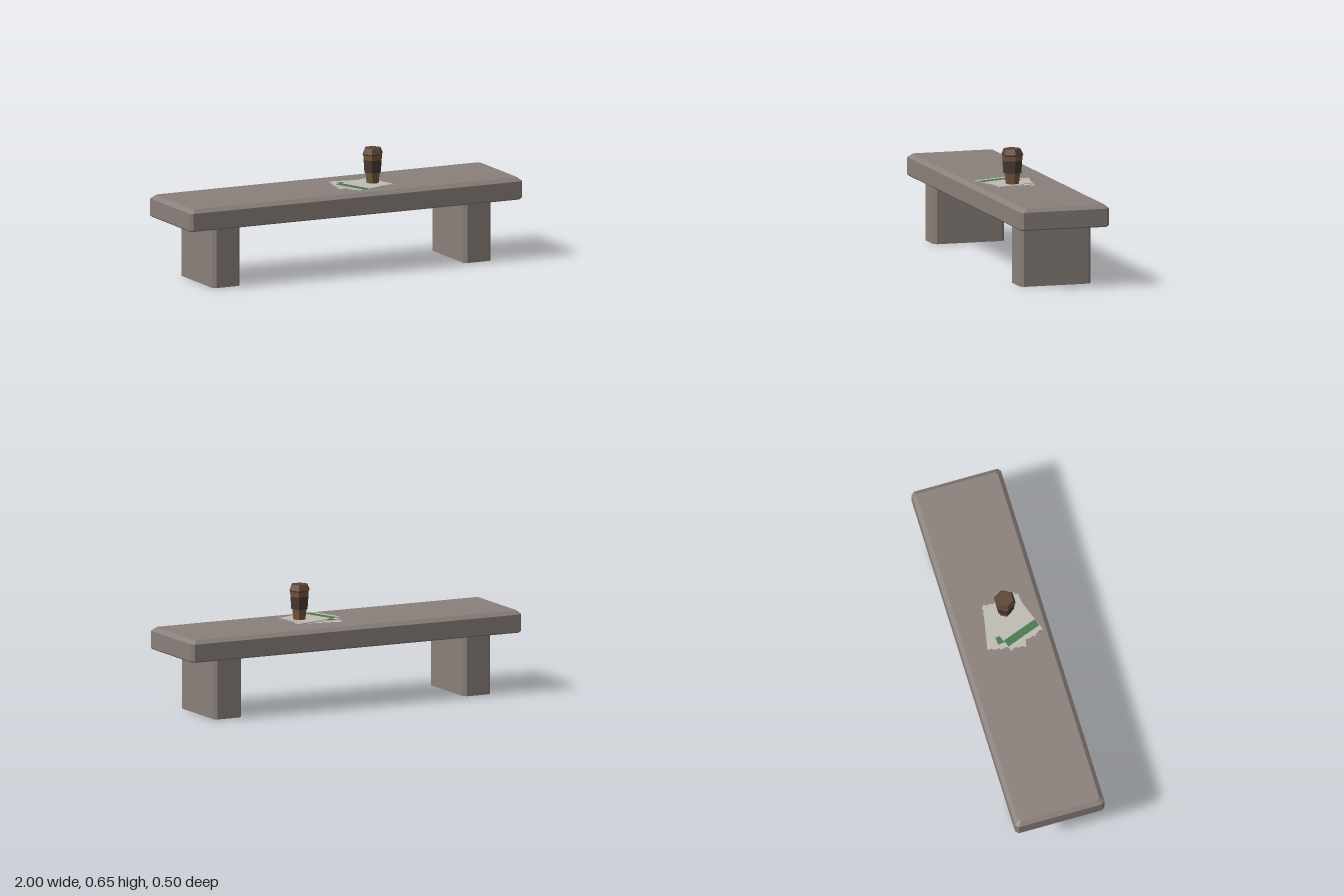
import * as THREE from 'three';

const mat = (name, color) => Object.assign(new THREE.MeshStandardMaterial({ color }), { name });

// Solid lofted through chamfered rectangles; each ring is [y, halfX, halfZ, corner cut]
function chamferedLoft(rings) {
  const loops = rings.map(([y, a, b, c]) => [
    [a, b - c], [a - c, b], [c - a, b], [-a, b - c],
    [-a, c - b], [c - a, -b], [a - c, -b], [a, c - b],
  ].map(([x, z]) => [x, y, z]));
  const pos = [];
  const tri = (...p) => p.forEach((v) => pos.push(...v));
  for (let r = 0; r < loops.length - 1; r++) {
    const lo = loops[r], hi = loops[r + 1];
    for (let i = 0; i < 8; i++) {
      const j = (i + 1) % 8;
      tri(lo[i], hi[j], lo[j]);
      tri(lo[i], hi[i], hi[j]);
    }
  }
  const bottom = loops[0], top = loops[loops.length - 1];
  for (let i = 1; i < 7; i++) {
    tri(bottom[0], bottom[i], bottom[i + 1]);
    tri(top[0], top[i + 1], top[i]);
  }
  const g = new THREE.BufferGeometry();
  g.setAttribute('position', new THREE.Float32BufferAttribute(pos, 3));
  g.computeVertexNormals();
  return g;
}

// Thin sheet with torn short edges
function sheetGeometry(w, h, thick) {
  const teeth = 10, pts = [];
  for (let i = 0; i <= teeth; i++)
    pts.push(new THREE.Vector2(w / 2 - (i % 2) * 0.009, -h / 2 + (h * i) / teeth));
  for (let i = teeth; i >= 0; i--)
    pts.push(new THREE.Vector2(-w / 2 + (i % 2) * 0.009, -h / 2 + (h * i) / teeth));
  const g = new THREE.ExtrudeGeometry(new THREE.Shape(pts), { depth: thick, bevelEnabled: false });
  return g.rotateX(-Math.PI / 2);
}

export function createModel() {
  const root = new THREE.Group();
  root.name = 'bench';
  const stone = mat('stone', 0x8a807b);
  const paper = mat('paper', 0xbfbbb5);
  const green = mat('green', 0x4b784e);
  const cardboard = mat('cardboard', 0x73583f);
  const sleeveMat = mat('sleeve brown', 0x4a3a35);
  const lidMat = mat('lid brown', 0x5c4434);

  const add = (parent, name, geometry, material) => {
    const m = new THREE.Mesh(geometry, material);
    m.name = name;
    parent.add(m);
    return m;
  };

  // Seat slab with bevelled rim
  add(root, 'seat', chamferedLoft([
    [0.33, 0.993, 0.243, 0.015], [0.337, 1, 0.25, 0.016],
    [0.43, 1, 0.25, 0.016], [0.45, 0.977, 0.227, 0.012],
  ]), stone);

  // Two block legs
  for (const side of [-1, 1]) {
    const leg = add(root, side > 0 ? 'leftLeg' : 'rightLeg',
      chamferedLoft([[0, 0.083, 0.2, 0.017], [0.332, 0.083, 0.2, 0.017]]), stone);
    leg.position.x = side * 0.755;
  }

  // Stack of loose sheets, each turned differently: [x, y, z, turn, striped]
  const sheets = [
    [0.12, 0.4503, 0.016, -0.19, false],
    [0.135, 0.4531, 0.045, 0.1, true],
    [0.128, 0.4559, 0.064, 0.35, true],
  ];
  sheets.forEach(([x, y, z, turn, striped], i) => {
    const sheet = new THREE.Group();
    sheet.name = 'sheet' + (i + 1);
    sheet.position.set(x, y, z);
    sheet.rotation.y = turn;
    add(sheet, 'page', sheetGeometry(0.265, 0.21, 0.0024), paper);
    if (striped) {
      const stripe = add(sheet, 'stripe', new THREE.BoxGeometry(0.042, 0.0006, 0.206), green);
      stripe.position.set(-0.08, 0.0026, 0);
    }
    root.add(sheet);
  });

  // Six-sided takeaway cup
  const cup = new THREE.Group();
  cup.name = 'cup';
  cup.position.set(0.2, 0, 0.041);
  root.add(cup);
  const hex = (name, y0, y1, r0, r1, material) => {
    const g = new THREE.CylinderGeometry(r1, r0, y1 - y0, 6).rotateY(Math.PI / 6).toNonIndexed();
    g.computeVertexNormals();
    add(cup, name, g, material).position.y = (y0 + y1) / 2;
  };
  hex('cupBase', 0.457, 0.517, 0.0365, 0.0435, cardboard);
  hex('cupSleeve', 0.516, 0.585, 0.0495, 0.0547, sleeveMat);
  hex('cupTop', 0.585, 0.611, 0.0547, 0.0567, cardboard);
  hex('lidRim', 0.611, 0.619, 0.0567, 0.0605, lidMat);
  hex('lid', 0.619, 0.649, 0.0605, 0.0465, lidMat);

  // Put a corner of the cup on the x axis
  cup.rotation.y = Math.PI / 3;
  return root;
}
